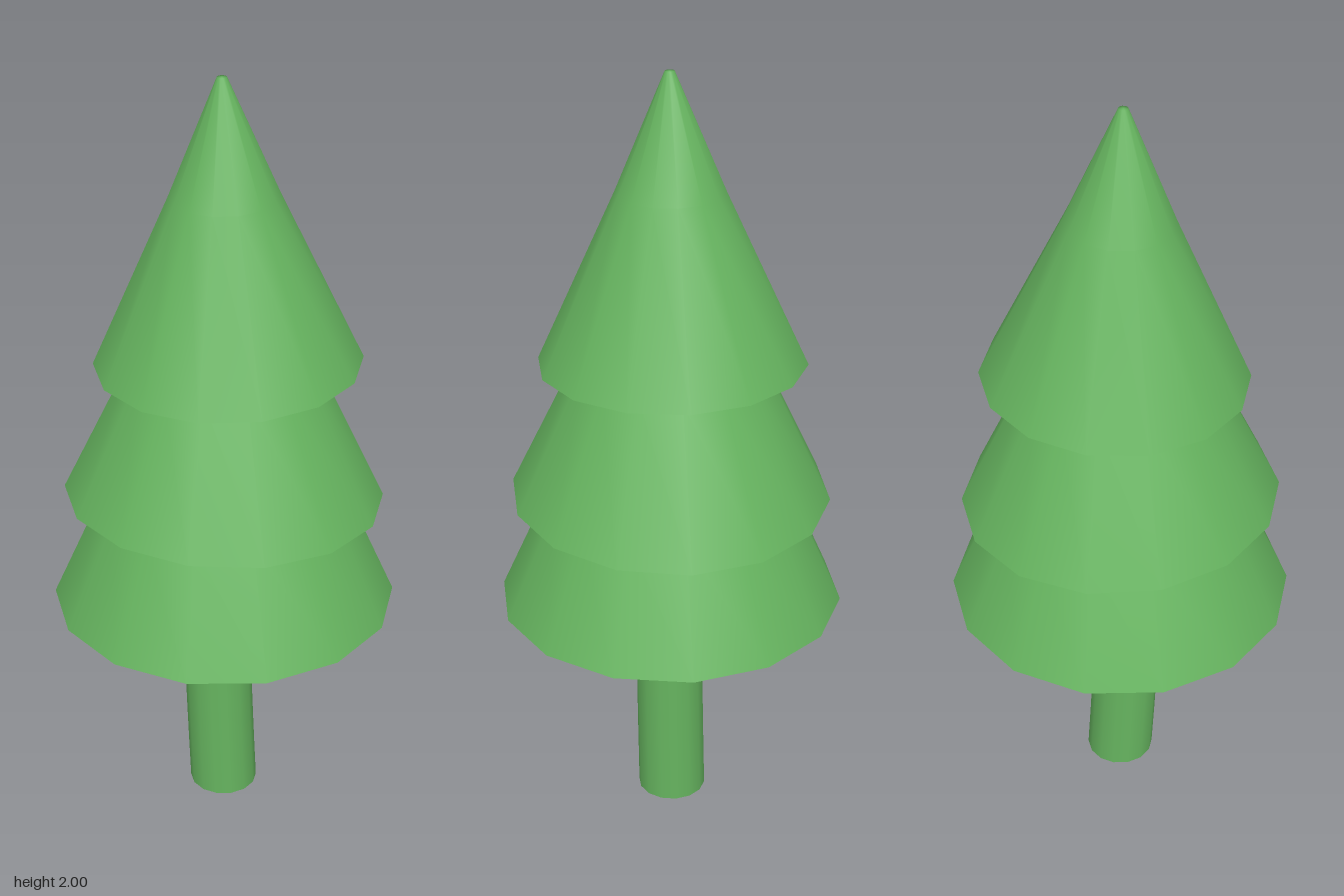
import * as THREE from 'three';

const SIDES = 14;
const COLOR = 0x66b45f;
const smooth = new THREE.MeshStandardMaterial({ color: COLOR });
const faceted = new THREE.MeshStandardMaterial({ color: COLOR, flatShading: true });

// Move every vertex by a rule that edits the vector in place
function deform(geometry, rule) {
  const pos = geometry.attributes.position;
  const v = new THREE.Vector3();
  for (let i = 0; i < pos.count; i++) {
    rule(v.fromBufferAttribute(pos, i));
    pos.setXYZ(i, v.x, v.y, v.z);
  }
  return geometry;
}

// Revolve a [radius, height] profile, tilt it about x and shift it in z
function revolve(profile, { tilt, shift }) {
  const points = profile.map(([r, y]) => new THREE.Vector2(r, y));
  const geometry = new THREE.LatheGeometry(points, SIDES, Math.PI / 2);
  return deform(geometry, (v) => {
    v.y += tilt * v.z;
    v.z += shift(v.y);
  });
}

// One tier of foliage: a smooth skirt and a hollow, faceted underside
function foliageTier(name, { profile, hollow, tilt = 0, shift = () => 0 }) {
  const tier = new THREE.Group();
  tier.name = name;
  const skirt = new THREE.Mesh(revolve(profile, { tilt, shift }), smooth);
  skirt.name = name + 'Skirt';
  const [rimRadius, rimY] = profile[0];
  const inner = revolve([[0, rimY + hollow], [rimRadius, rimY]], { tilt, shift });
  const underside = new THREE.Mesh(inner, faceted);
  underside.name = name + 'Underside';
  tier.add(skirt, underside);
  return tier;
}

export function createModel() {
  const tree = new THREE.Group();
  tree.name = 'pineTree';

  // Trunk, bending gently forward as it rises
  const height = 1.05;
  const trunkGeometry = new THREE.CylinderGeometry(0.086, 0.09, height, SIDES, 8, false, Math.PI / 2);
  trunkGeometry.translate(0, height / 2, 0);
  deform(trunkGeometry, (v) => {
    v.x -= 0.003;
    v.z += 0.024 * Math.sin((Math.PI / 2) * Math.min(v.y / 0.7, 1));
  });
  const trunk = new THREE.Mesh(trunkGeometry, smooth);
  trunk.name = 'trunk';
  tree.add(trunk);

  // Foliage from the bottom up; each tip hides inside the tier above
  tree.add(foliageTier('lowerTier', {
    profile: [[0.444, 0.61], [0.31, 0.91], [0.15, 1.22], [0, 1.35]],
    hollow: 0.36,
  }));
  tree.add(foliageTier('middleTier', {
    profile: [[0.408, 0.91], [0.235, 1.27], [0.1, 1.52], [0, 1.62]],
    hollow: 0.33,
    tilt: 0.05,
  }));
  tree.add(foliageTier('upperTier', {
    profile: [[0.336, 1.275], [0.135, 1.71], [0.012, 2], [0, 2]],
    hollow: 0.3,
    tilt: -0.03,
    shift: (y) => -0.013 + 0.02 * (y - 1.275) / 0.725,
  }));

  return tree;
}
